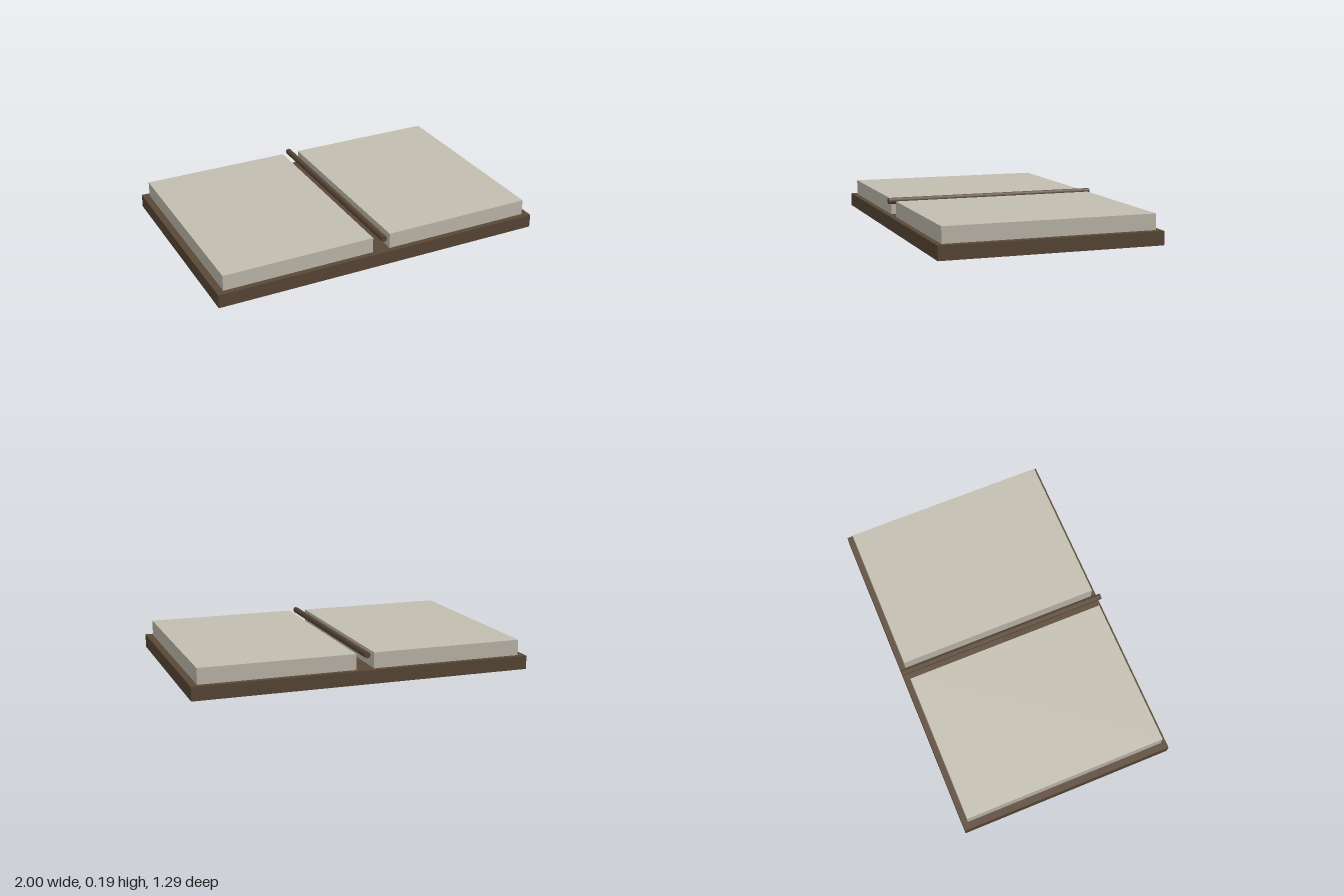
import * as THREE from 'three';

export function createModel() {
  const model = new THREE.Group();
  const leather = new THREE.MeshStandardMaterial({ color: 0x5a4837 });
  leather.name = 'brown leather';
  const paper = new THREE.MeshStandardMaterial({ color: 0xc3beb1 });
  paper.name = 'aged paper';

  function add(name, geometry, material, x, y, z) {
    const mesh = new THREE.Mesh(geometry, material);
    mesh.name = name;
    mesh.position.set(x, y, z);
    model.add(mesh);
    return mesh;
  }

  // Open cover lying flat
  add('cover', new THREE.BoxGeometry(2, 0.08, 1.29), leather, 0, 0.04, 0);

  // Two page blocks, mirrored about the spine
  for (const [side, name] of [[1, 'leftPages'], [-1, 'rightPages']]) {
    add(name, new THREE.BoxGeometry(0.906, 0.092, 1.226), paper, side * 0.506, 0.126, 0);
  }

  // Eight-sided spine rod running front to back above the gutter
  const rod = new THREE.CylinderGeometry(0.0185, 0.0185, 1.29, 8);
  rod.rotateX(Math.PI / 2);
  add('spineRod', rod, leather, 0, 0.168, 0);

  return model;
}
